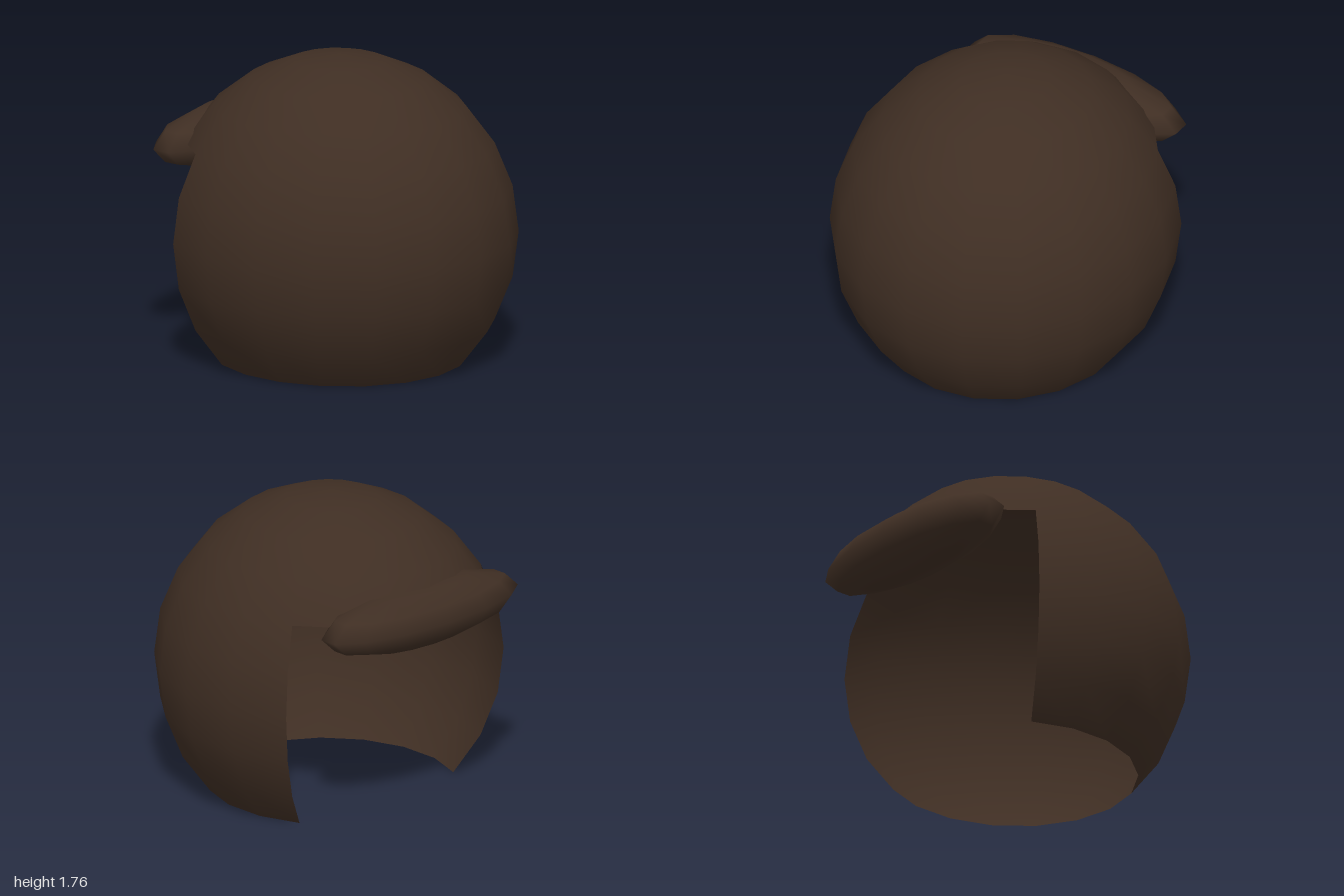
import * as THREE from 'three';

const deg = THREE.MathUtils.degToRad;

export function createModel() {
  const group = new THREE.Group();
  const hair = new THREE.MeshStandardMaterial({ color: 0x3f2e23, side: THREE.DoubleSide });
  hair.name = 'darkBrownHair';

  // Stretched piece of a unit sphere
  function add(name, geometry, scale, position) {
    geometry.scale(...scale);
    const mesh = new THREE.Mesh(geometry, hair);
    mesh.name = name;
    mesh.position.set(...position);
    group.add(mesh);
  }

  const shellScale = [0.98, 1.031, 1.035];
  const shellCentre = [0, 0.729, -0.035];

  // Closed crown, down to 60 degrees from the pole
  add('crown',
    new THREE.SphereGeometry(1, 18, 4, deg(90), deg(360), 0, deg(60)),
    shellScale, shellCentre);

  // Lower shell, open at the back and at the bottom
  add('lowerShell',
    new THREE.SphereGeometry(1, 12, 5, deg(-30), deg(240), deg(60), deg(75)),
    shellScale, shellCentre);

  // Sausage-shaped roll over the opening
  add('fringeRoll',
    new THREE.SphereGeometry(1, 14, 6, deg(90), deg(360)),
    [0.733, 0.181, 0.245], [0, 1.212, -0.755]);

  return group;
}
